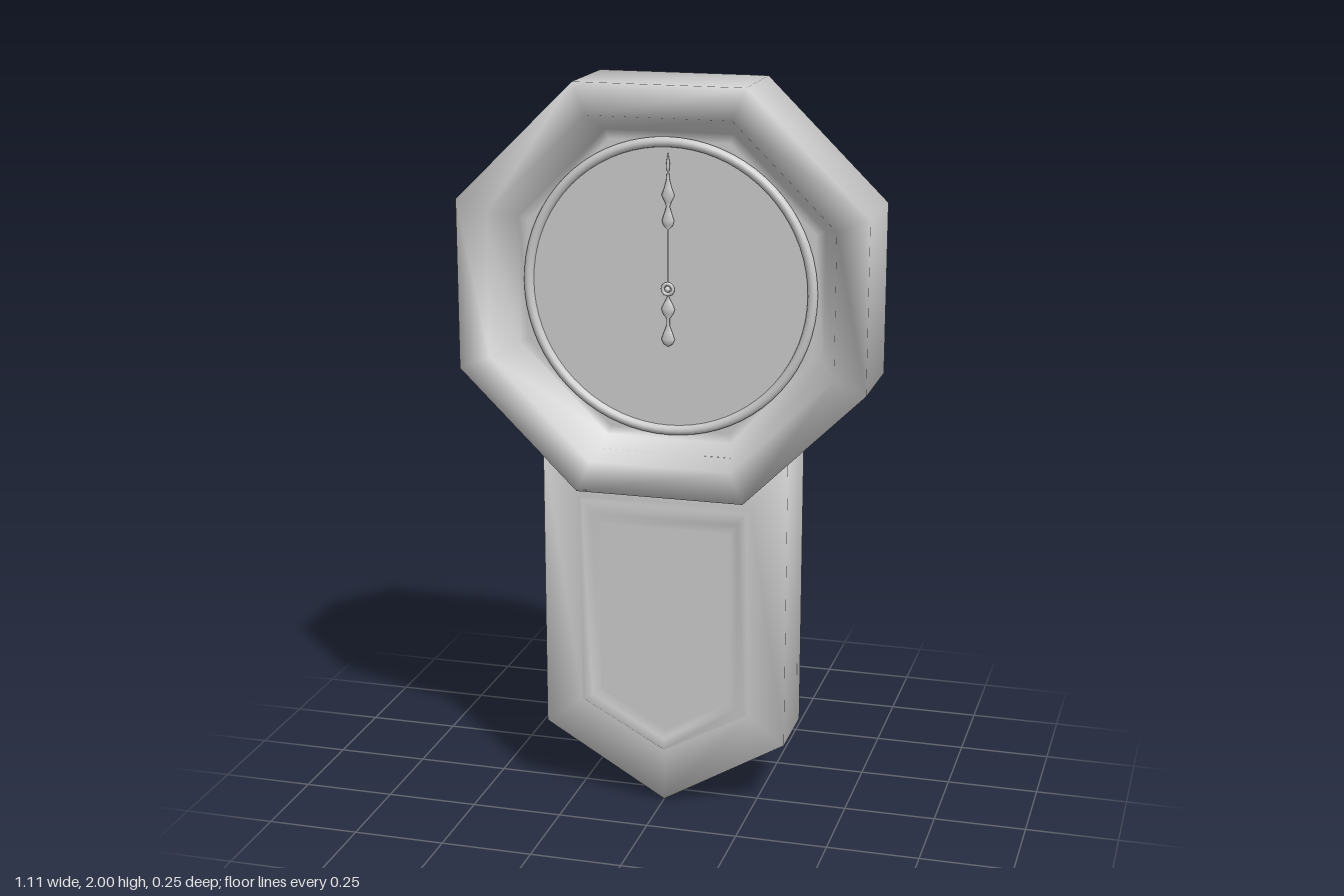
import * as THREE from 'three';

const material = new THREE.MeshStandardMaterial({ color: 0xcccccc });
const DIAL_Y = 1.45;

function addMesh(parent, name, geometry, y = 0, z = 0) {
  const mesh = new THREE.Mesh(geometry, material);
  mesh.name = name;
  mesh.position.set(0, y, z);
  parent.add(mesh);
  return mesh;
}

// Skins a stack of convex outlines (counter-clockwise, back to front) and caps both
// ends; shared corners give soft shading over the whole body.
function loft(rings) {
  const n = rings[0].points.length;
  const positions = rings.flatMap(({ points, z }) => points.flatMap(([x, y]) => [x, y, z]));
  const index = [];
  for (let r = 0; r < rings.length - 1; r++) {
    for (let i = 0; i < n; i++) {
      const a = r * n + i, b = r * n + (i + 1) % n;
      index.push(a, b, b + n, a, b + n, a + n);
    }
  }
  const last = (rings.length - 1) * n;
  for (let i = 1; i < n - 1; i++) {
    index.push(0, i + 1, i, last, last + i, last + i + 1);
  }
  const geometry = new THREE.BufferGeometry();
  geometry.setAttribute('position', new THREE.Float32BufferAttribute(positions, 3));
  geometry.setIndex(index);
  geometry.computeVertexNormals();
  return geometry;
}

// Octagon around the dial centre, sized by its half height
function octagon(size) {
  const k = size / 0.55, a = 0.23 * k, w = 0.555 * k;
  return [[w, -a], [w, a], [a, size], [-a, size], [-w, a], [-w, -a], [-a, -size], [a, -size]];
}

// Five-sided outline with a pointed bottom
function pointed(w, top, shoulder, tip) {
  return [[0, tip], [w, shoulder], [w, top], [-w, top], [-w, shoulder]];
}

// Turned hand, flattened front to back
function addHand(parent, name, profile) {
  const points = profile.map(([r, y]) => new THREE.Vector2(r, y));
  const hand = addMesh(parent, name, new THREE.LatheGeometry(points, 12), DIAL_Y, 0.03);
  hand.scale.z = 0.5;
}

export function createModel() {
  const group = new THREE.Group();
  group.name = 'wallClock';

  // Octagonal case with a raised rim and a sunken floor
  addMesh(group, 'octagonCase', loft([
    { points: octagon(0.46), z: -0.125 },
    { points: octagon(0.55), z: -0.125 },
    { points: octagon(0.55), z: 0.125 },
    { points: octagon(0.465), z: 0.125 },
    { points: octagon(0.415), z: 0.018 },
    { points: octagon(0.39), z: 0.018 },
  ]), DIAL_Y);

  // Dial and its round bezel
  addMesh(group, 'dial', new THREE.CircleGeometry(0.39, 64), DIAL_Y, 0.021);
  addMesh(group, 'bezel', new THREE.TorusGeometry(0.389, 0.0135, 12, 72), DIAL_Y, 0.024);

  // Pendulum case with a moulding around its window
  addMesh(group, 'pendulumCase', loft([
    { points: pointed(0.235, 0.88, 0.26, 0.13), z: -0.1245 },
    { points: pointed(0.34, 1.01, 0.2, 0), z: -0.1245 },
    { points: pointed(0.34, 1.01, 0.2, 0), z: 0.072 },
    { points: pointed(0.238, 0.87, 0.275, 0.145), z: 0.07 },
    { points: pointed(0.23, 0.86, 0.28, 0.153), z: 0.08 },
    { points: pointed(0.205, 0.825, 0.295, 0.182), z: 0.076 },
    { points: pointed(0.184, 0.797, 0.309, 0.207), z: 0.065 },
  ]));

  // Window of the pendulum case
  const windowShape = new THREE.Shape(
    pointed(0.184, 0.797, 0.309, 0.207).map(([x, y]) => new THREE.Vector2(x, y)));
  addMesh(group, 'window', new THREE.ShapeGeometry(windowShape), 0, 0.067);

  // Hands with teardrop beads, and the hub they turn on
  addHand(group, 'minuteHand', [
    [0, 0.01], [0.003, 0.012], [0.003, 0.16], [0.013, 0.17], [0.017, 0.183], [0.011, 0.2],
    [0.005, 0.22], [0.009, 0.232], [0.018, 0.25], [0.011, 0.268], [0.005, 0.29],
    [0.003, 0.31], [0.005, 0.335], [0, 0.365],
  ]);
  addHand(group, 'hourHand', [
    [0, -0.157], [0.012, -0.15], [0.019, -0.137], [0.012, -0.118], [0.005, -0.1],
    [0.005, -0.08], [0.014, -0.068], [0.019, -0.054], [0.011, -0.038], [0.004, -0.025], [0, -0.01],
  ]);
  addMesh(group, 'hubRing', new THREE.TorusGeometry(0.014, 0.005, 8, 24), DIAL_Y, 0.034);
  addMesh(group, 'hubPin', new THREE.SphereGeometry(0.008, 12, 8), DIAL_Y, 0.036);

  return group;
}
